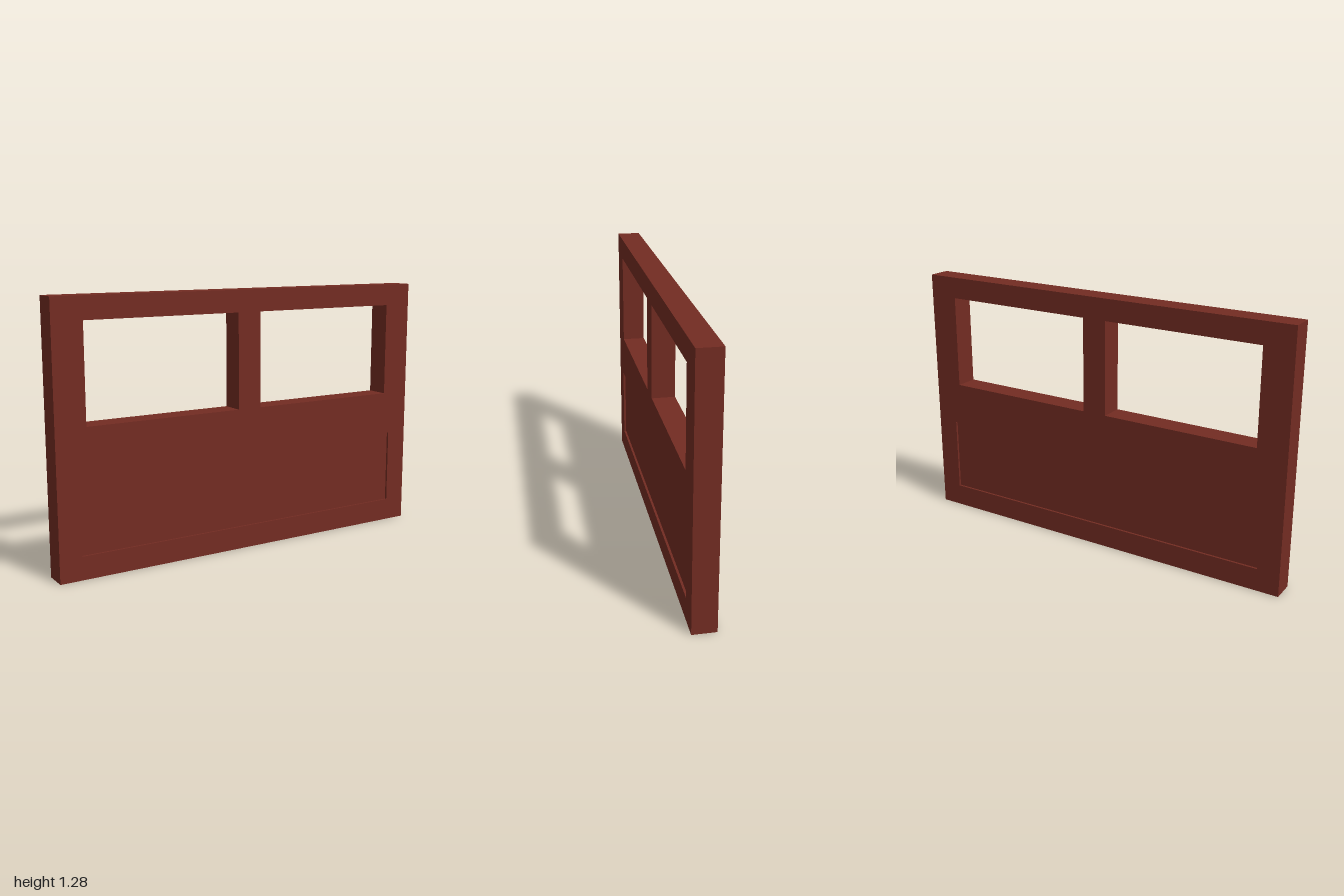
import * as THREE from 'three';

const WIDTH = 2, HEIGHT = 1.28, DEPTH = 0.115, RECESS = 0.011;

// Adds a rectangle path, counter-clockwise, to a Shape or Path
function rect(path, x0, y0, x1, y1) {
  path.moveTo(x0, y0);
  path.lineTo(x1, y0);
  path.lineTo(x1, y1);
  path.lineTo(x0, y1);
  path.closePath();
  return path;
}

export function createModel() {
  const group = new THREE.Group();
  group.name = 'panelledWindowFrame';
  const wood = new THREE.MeshStandardMaterial({ color: 0x732c22 });
  wood.name = 'redBrownWood';

  // Frame with two window openings and one panel opening
  const outline = rect(new THREE.Shape(), -WIDTH / 2, 0, WIDTH / 2, HEIGHT);
  outline.holes.push(
    rect(new THREE.Path(), -0.852, 0.704, -0.062, 1.173),
    rect(new THREE.Path(), 0.062, 0.704, 0.852, 1.173),
    rect(new THREE.Path(), -0.89, 0.112, 0.89, 0.486),
  );
  const frameGeometry = new THREE.ExtrudeGeometry(outline, { depth: DEPTH, bevelEnabled: false });
  frameGeometry.translate(0, 0, -DEPTH / 2);
  const frame = new THREE.Mesh(frameGeometry, wood);
  frame.name = 'frame';
  group.add(frame);

  // Lower panel, slightly recessed on both sides
  const panel = new THREE.Mesh(new THREE.BoxGeometry(1.78, 0.374, DEPTH - 2 * RECESS), wood);
  panel.name = 'lowerPanel';
  panel.position.y = 0.299;
  group.add(panel);

  return group;
}
